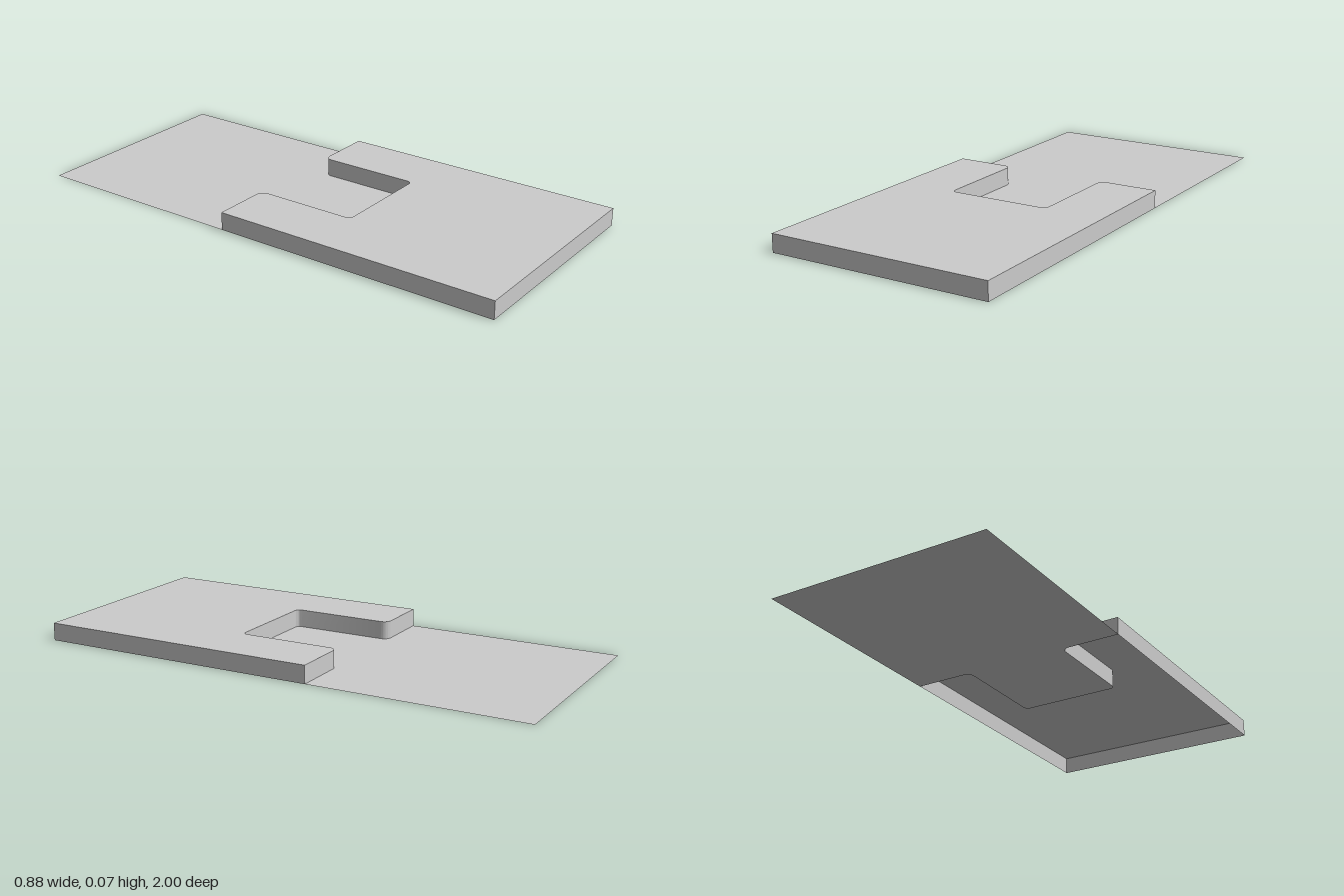
import * as THREE from 'three';
import { toCreasedNormals } from 'three/addons/utils/BufferGeometryUtils.js';

const HALF_W = 0.44, HALF_L = 1, HEIGHT = 0.07;
const STEP = 0.14, NOTCH_X = 0.205, NOTCH_END = -0.27; // plan coordinates, v = -z
const R_OUT = 0.03, R_IN = 0.02;

// Plan line of the step, with rounded notch corners, from +x to -x
function stepLine() {
  const half = new THREE.Path();
  half.moveTo(HALF_W, STEP);
  half.lineTo(NOTCH_X + R_OUT, STEP);
  half.absarc(NOTCH_X + R_OUT, STEP - R_OUT, R_OUT, Math.PI / 2, Math.PI, false);
  half.lineTo(NOTCH_X, NOTCH_END + R_IN);
  half.absarc(NOTCH_X - R_IN, NOTCH_END + R_IN, R_IN, 0, -Math.PI / 2, true);
  const right = half.getPoints(8);
  const left = right.map(p => new THREE.Vector2(-p.x, p.y)).reverse();
  return [...right, ...left];
}

// Flat horizontal face at height y
function flatFace(points, y) {
  return new THREE.ShapeGeometry(new THREE.Shape(points)).rotateX(-Math.PI / 2).translate(0, y, 0);
}

// Vertical band along a closed outline, facing outward
function wallBand(points, height) {
  const pos = [];
  points.forEach((a, i) => {
    const b = points[(i + 1) % points.length];
    if (a.distanceTo(b) < 1e-6) return;
    const a0 = [a.x, 0, -a.y], b0 = [b.x, 0, -b.y];
    const a1 = [a.x, height, -a.y], b1 = [b.x, height, -b.y];
    pos.push(...a0, ...b0, ...b1, ...a0, ...b1, ...a1);
  });
  const geo = new THREE.BufferGeometry();
  geo.setAttribute('position', new THREE.Float32BufferAttribute(pos, 3));
  return toCreasedNormals(geo, Math.PI / 6);
}

export function createModel() {
  const group = new THREE.Group();
  group.name = 'steppedPlate';
  const material = new THREE.MeshStandardMaterial({ color: 0xcccccc, side: THREE.DoubleSide });
  const add = (name, geometry) => {
    const mesh = new THREE.Mesh(geometry, material);
    mesh.name = name;
    group.add(mesh);
  };

  const step = stepLine();
  const corners = v => [new THREE.Vector2(-HALF_W, v), new THREE.Vector2(HALF_W, v)];
  const lower = [...step, ...corners(HALF_L)];
  const upper = [...step, ...corners(-HALF_L)];

  // Thin lower sheet with its tongue reaching into the notch
  add('lowerSheet', flatFace(lower, 0));
  // Raised deck, hollow and open underneath
  add('raisedDeck', flatFace(upper, HEIGHT));
  // Outer skirt and step wall around the deck
  add('deckWalls', wallBand(upper, HEIGHT));

  return group;
}
